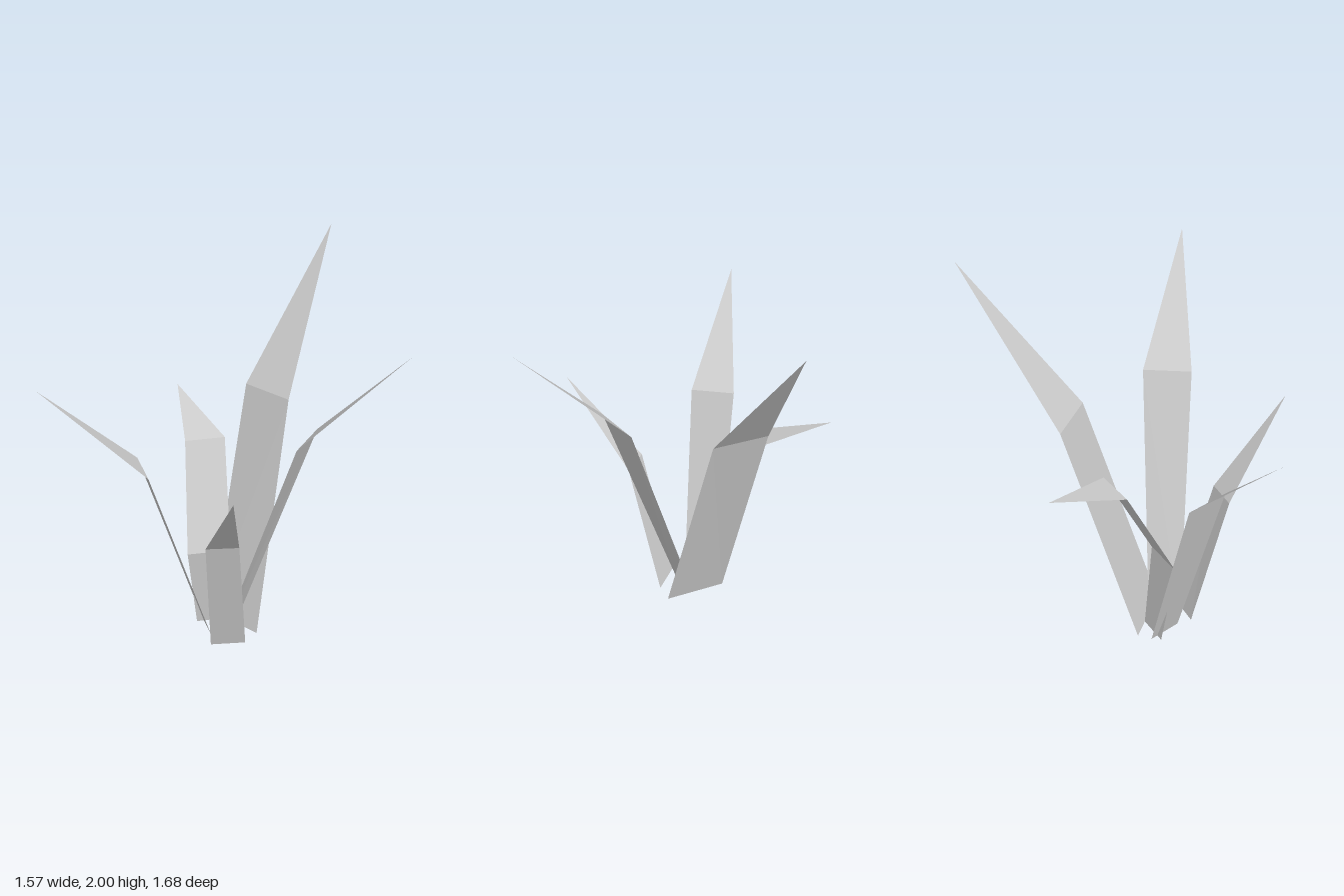
import * as THREE from 'three';

const material = new THREE.MeshStandardMaterial({
  color: 0xcccccc, flatShading: true, side: THREE.DoubleSide,
});

// A folded blade: cross edges [left, right] from the base upward, closed by a pointed tip.
function blade(name, edges, tip) {
  const index = [];
  for (let i = 0; i < edges.length - 1; i++) {
    const a = i * 2;
    index.push(a, a + 1, a + 3, a, a + 3, a + 2);
  }
  const last = edges.length * 2;
  index.push(last - 2, last - 1, last);

  const geometry = new THREE.BufferGeometry();
  geometry.setAttribute('position', new THREE.Float32BufferAttribute([...edges.flat(2), ...tip], 3));
  geometry.setIndex(index);
  geometry.computeVertexNormals();
  const mesh = new THREE.Mesh(geometry, material);
  mesh.name = name;
  return mesh;
}

export function createModel() {
  const plant = new THREE.Group();
  plant.name = 'grassTuft';

  plant.add(
    // tall, broad blade leaning back
    blade('backBlade', [
      [[-0.335, 0, 0.07], [-0.005, 0, 0.07]],
      [[-0.38, 1.24, -0.3], [-0.09, 1.24, -0.295]],
    ], [-0.25, 2, -0.84]),

    // blade leaning to the model's left
    blade('leftBlade', [
      [[-0.12, 0, 0.235], [-0.155, 0, 0.07]],
      [[0.31, 1.27, 0.145], [0.25, 1.27, -0.095]],
    ], [0.785, 1.82, -0.06]),

    // short blade leaning forward
    blade('frontLeftBlade', [
      [[-0.13, 0, 0.3], [0, 0, 0.17]],
      [[-0.01, 0.735, 0.45], [0.11, 0.735, 0.335]],
    ], [0.335, 1.21, 0.63]),

    // medium blade leaning forward
    blade('frontRightBlade', [
      [[-0.335, 0, 0.145], [-0.18, 0, 0.24]],
      [[-0.52, 1.04, 0.385], [-0.325, 1.04, 0.505]],
    ], [-0.7, 1.53, 0.84]),

    // twice-folded blade drooping to the back right
    blade('backRightBlade', [
      [[-0.325, 0, 0.195], [-0.22, 0, 0.07]],
      [[-0.31, 0.48, 0.265], [-0.165, 0.48, 0.09]],
      [[-0.485, 1.015, 0.07], [-0.355, 1.015, -0.095]],
    ], [-0.785, 1.15, -0.2]),
  );
  return plant;
}
